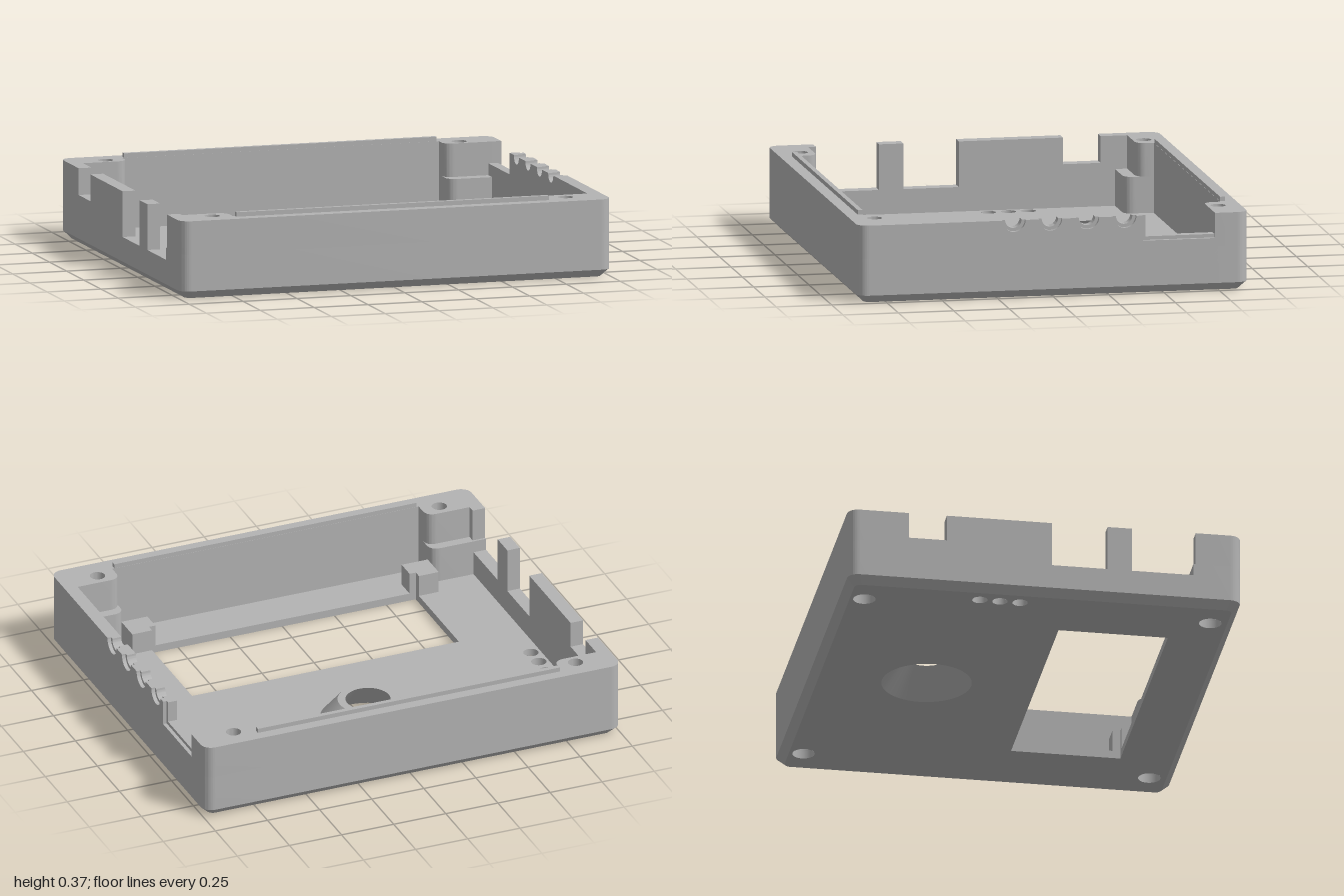
import * as THREE from 'three';
import { toCreasedNormals } from 'three/addons/utils/BufferGeometryUtils.js';

const W = 1, D = 0.88, H = 0.35, FLOOR = 0.035, LEDGE = 0.2;

export function createModel() {
  const group = new THREE.Group();
  const grey = new THREE.MeshStandardMaterial({ color: 0xb3b3b3, side: THREE.DoubleSide });
  grey.name = 'grey plastic';

  const add = (name, geometry, parent = group) => {
    const mesh = new THREE.Mesh(geometry, grey);
    mesh.name = name;
    parent.add(mesh);
    return mesh;
  };
  const poly = (pts) => new THREE.Shape(pts.map(([a, b]) => new THREE.Vector2(a, b)));
  const circle = (x, z, r) => new THREE.Path().absarc(x, z, r, 0, Math.PI * 2, true);

  // Extrude a floor-plan shape (x, z) between two heights
  const plan = (shape, y0, y1) => toCreasedNormals(
    new THREE.ExtrudeGeometry(shape, { depth: y1 - y0, bevelEnabled: false, curveSegments: 12 })
      .rotateX(Math.PI / 2).translate(0, y1, 0), 0.6);

  // Extrude a side profile (z, y) between two x positions
  const side = (shape, x0, x1) => toCreasedNormals(
    new THREE.ExtrudeGeometry(shape, { depth: x1 - x0, bevelEnabled: false, curveSegments: 16 })
      .rotateY(-Math.PI / 2).translate(x1, 0, 0), 0.6);

  const roundedRect = (w, d, r) => new THREE.Shape()
    .moveTo(-w + r, -d).lineTo(w - r, -d).absarc(w - r, -d + r, r, -Math.PI / 2, 0)
    .lineTo(w, d - r).absarc(w - r, d - r, r, 0, Math.PI / 2)
    .lineTo(-w + r, d).absarc(-w + r, d - r, r, Math.PI / 2, Math.PI)
    .lineTo(-w, -d + r).absarc(-w + r, -d + r, r, Math.PI, Math.PI * 1.5);

  // Ring of faces joining two loops with matching points
  const band = (a, ya, b, yb) => {
    const pos = [];
    for (let i = 0; i < a.length; i++) {
      const j = (i + 1) % a.length;
      const A = [a[i].x, ya, a[i].y], B = [a[j].x, ya, a[j].y];
      const C = [b[j].x, yb, b[j].y], E = [b[i].x, yb, b[i].y];
      pos.push(...A, ...E, ...C, ...A, ...C, ...B);
    }
    const g = new THREE.BufferGeometry();
    g.setAttribute('position', new THREE.Float32BufferAttribute(pos, 3));
    g.computeVertexNormals();
    return toCreasedNormals(g, 0.6);
  };

  // Floor plate with window, funnel, small round holes and screw pockets
  const windowPts = [[-0.64, 0.12], [-0.64, 0.61], [0.64, 0.61], [0.64, 0.12]];
  const slots = [-0.275, -0.185, -0.095];
  const screws = [[-0.82, -0.78], [0.82, -0.78], [-0.82, 0.77], [0.82, 0.77]];
  const CONE_Z = -0.365;
  const pierced = (shape) => {
    shape.holes.push(poly(windowPts), circle(0, CONE_Z, 0.2));
    slots.forEach((z) => shape.holes.push(circle(-0.895, z, 0.034)));
    screws.forEach(([x, z]) => shape.holes.push(circle(x, z, 0.05)));
    return shape;
  };
  const outer = roundedRect(W, D, 0.05);
  const inset = roundedRect(W - 0.035, D - 0.035, 0.03);
  add('bottomChamfer', band(inset.getPoints(8), 0, outer.getPoints(8), FLOOR));
  add('floorUnderside', new THREE.ShapeGeometry(pierced(inset), 24).rotateX(Math.PI / 2));
  const top = new THREE.ShapeGeometry(pierced(outer), 24).rotateX(Math.PI / 2).translate(0, FLOOR, 0);
  top.index.array.reverse();
  top.computeVertexNormals();
  add('floorTop', top);
  const loop = windowPts.map(([x, z]) => new THREE.Vector2(x, z));
  add('windowEdge', band(loop, 0, loop, FLOOR));
  slots.forEach((z) => add('smallHoleWall',
    new THREE.CylinderGeometry(0.034, 0.034, FLOOR, 24, 1, true).translate(-0.895, FLOOR / 2, z)));
  screws.forEach(([x, z]) => {
    add('screwPocketWall',
      new THREE.CylinderGeometry(0.05, 0.05, FLOOR, 24, 1, true).translate(x, FLOOR / 2, z));
    add('screwPocketEnd', new THREE.CylinderGeometry(0.051, 0.051, 0.008, 24).translate(x, LEDGE, z));
  });

  // Hollow funnel around the round opening
  const funnel = [[0.215, FLOOR], [0.135, 0.13], [0.1, 0.13], [0.2, 0]]
    .map(([r, y]) => new THREE.Vector2(r, y));
  add('funnel', toCreasedNormals(new THREE.LatheGeometry(funnel, 48), 0.5).translate(0, 0, CONE_Z));

  // End wall with a rounded post at each corner
  const endShape = (wall, post, screwZ, holeR) => {
    const s = new THREE.Shape().moveTo(-W, post).lineTo(-W, D - 0.05)
      .absarc(-W + 0.05, D - 0.05, 0.05, Math.PI, Math.PI / 2, true)
      .lineTo(W - 0.05, D).absarc(W - 0.05, D - 0.05, 0.05, Math.PI / 2, 0, true)
      .lineTo(W, post).lineTo(0.785, post).quadraticCurveTo(0.735, post, 0.735, post + 0.05)
      .lineTo(0.735, wall).lineTo(-0.735, wall).lineTo(-0.735, post + 0.05)
      .quadraticCurveTo(-0.735, post, -0.785, post).lineTo(-W, post);
    s.holes.push(circle(-0.82, screwZ, holeR), circle(0.82, screwZ, holeR));
    return s;
  };
  const endWall = (name, wall, post, ledge, screwZ, turn) => {
    const end = new THREE.Group();
    end.name = name;
    add('lowerWallAndLedges', plan(endShape(wall, ledge, screwZ, 0.05), FLOOR, LEDGE), end);
    add('upperWallAndPosts', plan(endShape(wall, post, screwZ, 0.034), LEDGE, H), end);
    add('lip', new THREE.BoxGeometry(1.45, 0.02, 0.022).translate(0, H + 0.01, wall + 0.012), end);
    end.rotation.y = turn;
    group.add(end);
  };
  endWall('frontWall', 0.803, 0.71, 0.665, 0.77, 0);
  endWall('backWall', 0.808, 0.73, 0.675, 0.78, Math.PI);

  // Left wall: four cable notches and one connector cutout, stepped wider on the outside
  const cableWall = (r, z0, z1, y) => {
    const s = new THREE.Shape().moveTo(-0.74, FLOOR).lineTo(-0.74, y).lineTo(z1, y).lineTo(z1, H);
    if (z0 > -0.74) s.moveTo(-0.74, FLOOR);
    [-0.323, -0.155, 0.012, 0.177].forEach((z) => {
      s.lineTo(z - r, H).absarc(z, H, r, Math.PI, Math.PI * 2, false);
    });
    return s.lineTo(0.72, H).lineTo(0.72, FLOOR).lineTo(-0.74, FLOOR);
  };
  add('leftWallInner', side(cableWall(0.037, -0.74, -0.42, 0.253), 0.94, 0.983));
  add('leftWallOuter', side(cableWall(0.052, -0.74, -0.405, 0.237), 0.983, W));

  // Right wall: one shallow cutout and two deep ones around a narrow tooth
  add('rightWall', side(poly([
    [-0.74, FLOOR], [-0.74, H], [-0.61, H], [-0.61, 0.23], [-0.44, 0.23], [-0.44, H],
    [0.03, H], [0.03, 0.145], [0.28, 0.145], [0.28, H], [0.39, H], [0.39, 0.145],
    [0.675, 0.145], [0.675, H], [0.72, H], [0.72, FLOOR],
  ]), -W, -0.94));

  // L-shaped supports at the front corners of the window
  for (const s of [-1, 1]) {
    add('windowCornerSupport', plan(poly([
      [0.735, 0.575], [0.64, 0.575], [0.64, 0.61], [0.61, 0.61], [0.61, 0.7], [0.735, 0.7],
    ].map(([x, z]) => [x * s, z])), FLOOR, 0.135));
  }
  return group;
}
